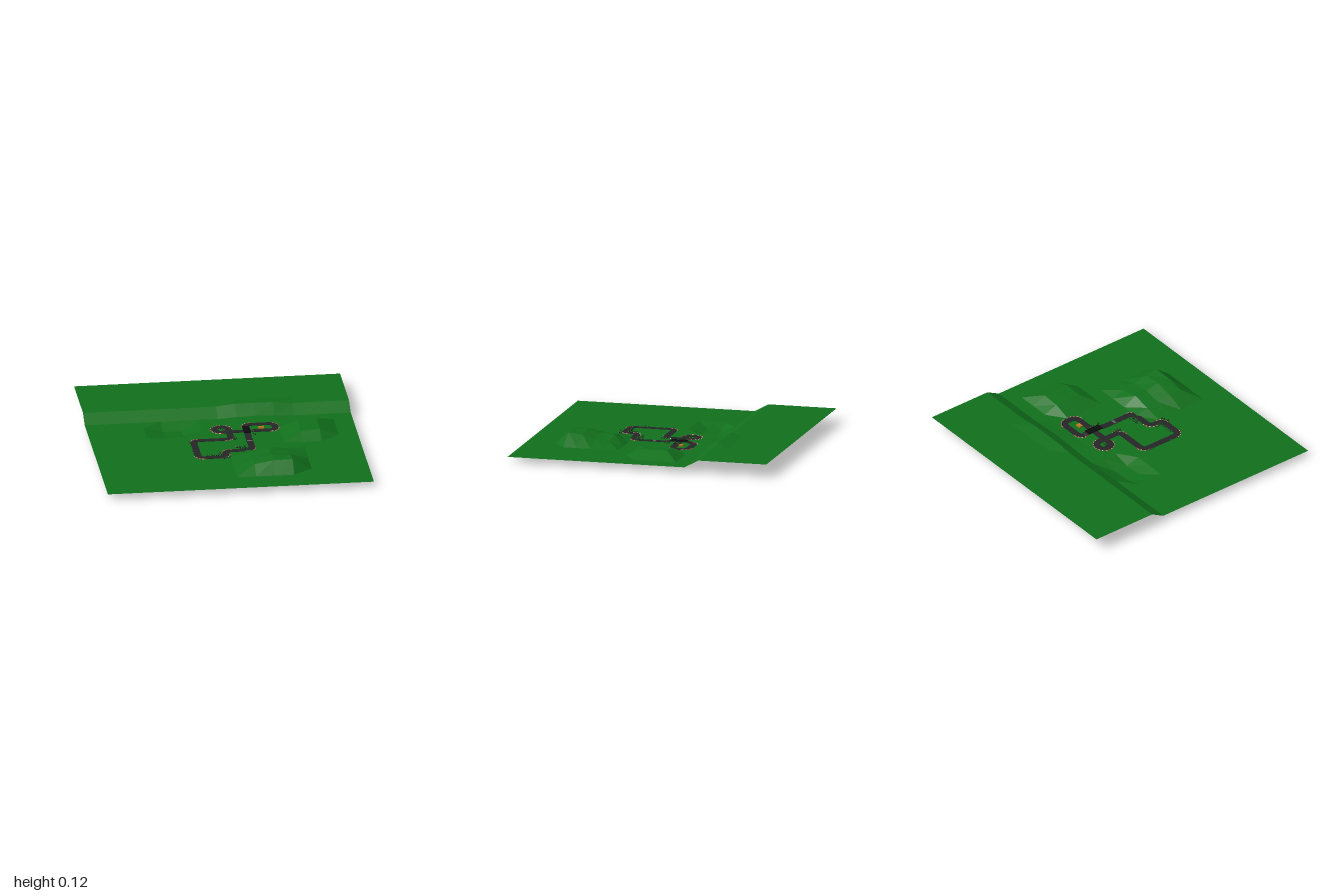
import * as THREE from 'three';
import { mergeGeometries } from 'three/addons/utils/BufferGeometryUtils.js';

const BASE = 0.042;

function mesh(name, geometry, color, extra = {}) {
  const m = new THREE.Mesh(geometry, new THREE.MeshStandardMaterial({ color, ...extra }));
  m.name = name;
  return m;
}

function box(w, h, d, x, y, z, turn = 0) {
  return new THREE.BoxGeometry(w, h, d).rotateY(turn).translate(x, y, z);
}

// Raised or sunken ground points: [row, first column, heights...]
const RELIEF = [
  [5, 8, 0.115, 0.115, 0.115], [6, 8, 0.05, 0.055, 0.05],
  [7, 4, 0.003, 0.0], [8, 4, 0.012, 0.008],
  [8, 11, 0.088, 0.095], [9, 11, 0.09, 0.095], [10, 11, 0.088, 0.095],
  [13, 8, 0.07, 0.1, 0.075], [14, 8, 0.075, 0.1, 0.085],
  [15, 8, 0.1, 0.125, 0.115], [16, 8, 0.1, 0.122, 0.125],
];

function terrain() {
  const g = new THREE.PlaneGeometry(2, 2, 14, 19).rotateX(-Math.PI / 2);
  const p = g.attributes.position;
  for (let i = 0; i < p.count; i++) p.setY(i, i < 6 * 15 ? 0.1 : BASE);
  for (const [row, col, ...heights] of RELIEF) {
    heights.forEach((h, i) => p.setY(row * 15 + col + i, h));
  }
  const flat = g.toNonIndexed();
  flat.computeVertexNormals();
  return mesh('terrain', flat, 0x11701c, { flatShading: true, side: THREE.DoubleSide });
}

// Corners of the circuit: x, z, radius
const CORNERS = [
  [0.405, -0.105, 0.045], [-0.055, -0.105, 0.05], [-0.055, -0.205, 0.05], [0.052, -0.205, 0.05],
  [0.052, 0.038, 0.045], [-0.237, 0.038, 0.045], [-0.237, 0.378, 0.045], [-0.025, 0.378, 0.045],
  [-0.025, 0.265, 0.045], [0.183, 0.265, 0.045], [0.183, -0.23, 0.045], [0.405, -0.23, 0.045],
];

// Centre line samples: position, travel direction and bend (+1, -1 or 0)
function centreLine() {
  const pts = [];
  const n = CORNERS.length;
  const v = CORNERS.map(([x, z]) => new THREE.Vector2(x, z));
  for (let i = 0; i < n; i++) {
    const r = CORNERS[i][2], nextR = CORNERS[(i + 1) % n][2];
    const dIn = v[i].clone().sub(v[(i + n - 1) % n]).normalize();
    const dOut = v[(i + 1) % n].clone().sub(v[i]).normalize();
    const c = v[i].clone().addScaledVector(dIn, -r).addScaledVector(dOut, r);
    const bend = Math.sign(dIn.x * dOut.y - dIn.y * dOut.x);
    for (let k = 0; k <= 8; k++) {
      const t = (k / 8) * Math.PI / 2;
      pts.push({
        p: c.clone().addScaledVector(dOut, -r * Math.cos(t)).addScaledVector(dIn, r * Math.sin(t)),
        d: dIn.clone().multiplyScalar(Math.cos(t)).addScaledVector(dOut, Math.sin(t)), bend,
      });
    }
    const a = v[i].clone().addScaledVector(dOut, r);
    const b = v[(i + 1) % n].clone().addScaledVector(dOut, -nextR);
    const steps = Math.floor(a.distanceTo(b) / 0.02);
    for (let k = 1; k < steps; k++) pts.push({ p: a.clone().lerp(b, k / steps), d: dOut, bend: 0 });
  }
  // The long straight climbs over the lower road
  for (const s of pts) {
    const over = Math.abs(s.p.x - 0.183) < 0.001 && Math.abs(s.d.y) > 0.99;
    const near = over ? THREE.MathUtils.smoothstep(0.12 - Math.abs(s.p.y + 0.105), 0, 0.08) : 0;
    s.y = BASE + 0.002 + 0.011 * near;
  }
  return pts;
}

// Strip with short skirts swept along the centre line
function road(pts) {
  const section = [[-0.025, -0.004], [-0.025, 0], [0.025, 0], [0.025, -0.004]];
  const pos = [], index = [];
  pts.forEach(({ p, d, y }) => section.forEach(([o, h]) => pos.push(p.x - d.y * o, y + h, p.y + d.x * o)));
  pts.forEach((_, i) => {
    const a = i * 4, b = ((i + 1) % pts.length) * 4;
    for (let k = 0; k < 3; k++) index.push(a + k, b + k, a + k + 1, b + k, b + k + 1, a + k + 1);
  });
  const g = new THREE.BufferGeometry();
  g.setAttribute('position', new THREE.Float32BufferAttribute(pos, 3));
  g.setIndex(index);
  const flat = g.toNonIndexed();
  flat.computeVertexNormals();
  return mesh('road', flat, 0x262629, { side: THREE.DoubleSide });
}

// Red and white kerb blocks round the outside of each bend
function kerbs(pts) {
  const parts = [[], []];
  pts.forEach(({ p, d, bend, y }, i) => {
    if (!bend) return;
    const o = -bend * 0.027;
    parts[i % 2].push(box(0.013, 0.005, 0.004, p.x - d.y * o, y - 0.001, p.y + d.x * o, Math.atan2(-d.y, d.x)));
  });
  const group = new THREE.Group();
  group.name = 'kerbs';
  group.add(mesh('redKerbs', mergeGeometries(parts[0]), 0xc03020), mesh('whiteKerbs', mergeGeometries(parts[1]), 0xd8d0c8));
  return group;
}

// Small low-poly bushes scattered beside the road
function bushes() {
  let seed = 7;
  const rnd = () => (seed = (seed * 16807) % 2147483647) / 2147483647;
  const clusters = [ // x, z, spread x, spread z, count
    [0.11, 0.215, 0.05, 0.025, 22], [-0.12, 0.345, 0.07, 0.012, 16], [-0.03, 0.405, 0.03, 0.01, 8],
    [0.225, -0.07, 0.015, 0.05, 14], [0.075, 0.02, 0.01, 0.05, 10], [-0.265, 0.2, 0.004, 0.14, 8],
    [-0.01, -0.15, 0.02, 0.015, 5], [-0.06, 0.32, 0.012, 0.03, 8],
  ];
  const parts = [];
  for (const [x, z, sx, sz, count] of clusters) {
    for (let i = 0; i < count; i++) {
      const r = 0.004 + rnd() * 0.004;
      parts.push(new THREE.IcosahedronGeometry(r, 0)
        .translate(x + (rnd() * 2 - 1) * sx, BASE + r * 0.8, z + (rnd() * 2 - 1) * sz));
    }
  }
  return mesh('bushes', mergeGeometries(parts), 0x0c3a10, { flatShading: true });
}

export function createModel() {
  const model = new THREE.Group();
  model.name = 'raceTrackLandscape';
  const pts = centreLine();
  model.add(terrain(), road(pts), kerbs(pts), bushes());

  // Bridge deck with low side walls
  model.add(mesh('bridge', mergeGeometries([
    box(0.05, 0.002, 0.13, 0.183, 0.0555, -0.105),
    ...[-1, 1].map((s) => box(0.003, 0.006, 0.13, 0.183 + s * 0.025, 0.056, -0.105)),
  ]), 0x0c0c0e));

  // Start line and pit building
  model.add(mesh('startLine', box(0.04, 0.002, 0.018, 0.183, BASE + 0.002, 0.085), 0x66666a));
  model.add(mesh('pitBuilding', box(0.042, 0.014, 0.032, 0.298, BASE + 0.004, -0.152), 0xb87a1c));
  return model;
}
